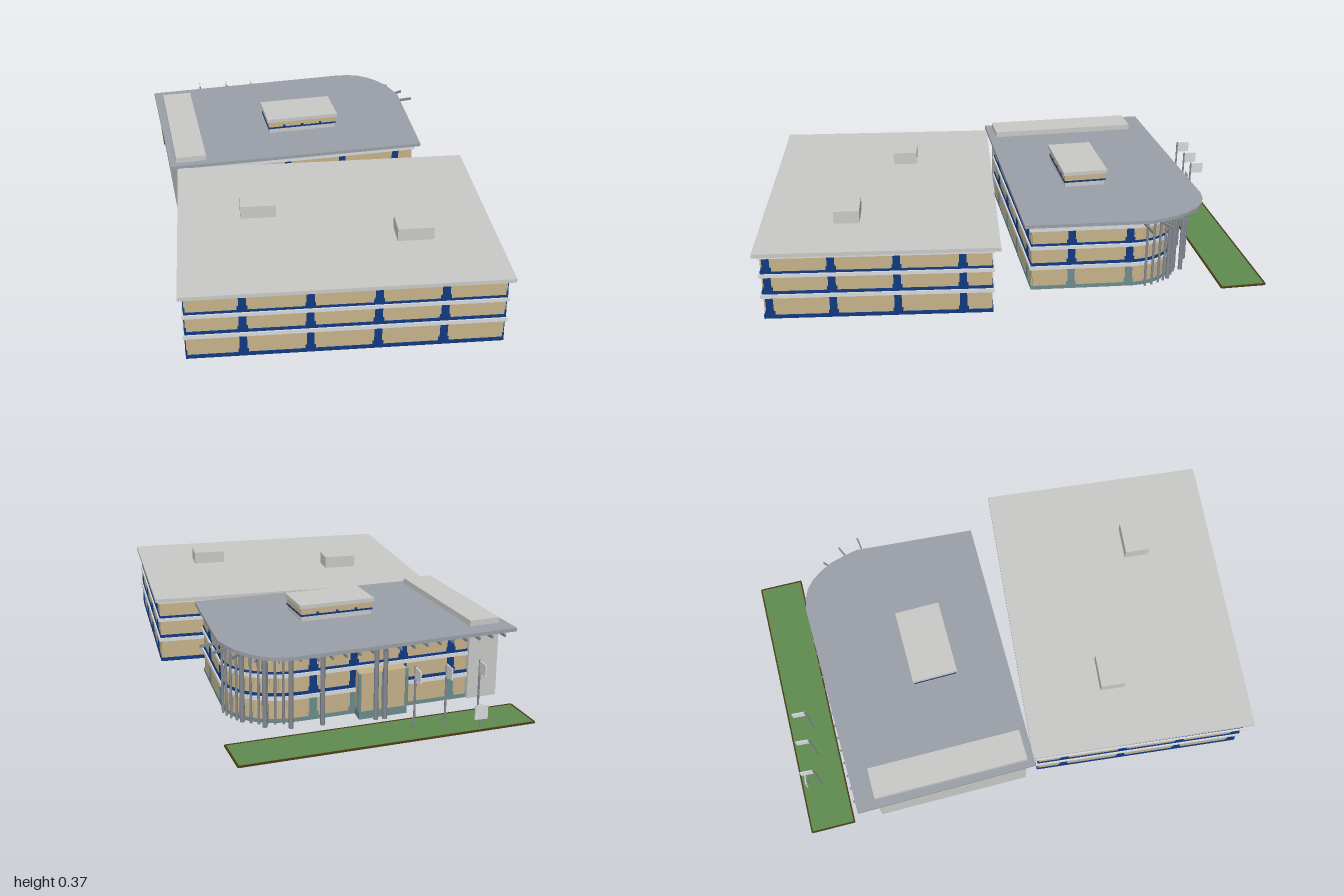
import * as THREE from 'three';

const mat = (name, color) => {
  const m = new THREE.MeshStandardMaterial({ color });
  m.name = name;
  return m;
};

export function createModel() {
  const root = new THREE.Group();
  root.name = 'officeComplex';
  const M = {
    light: mat('lightGrey', 0xc8c8c6), slate: mat('slateRoof', 0x9aa0a8), tan: mat('sandPanel', 0xc6b28a),
    blue: mat('blueFrame', 0x103a82), band: mat('paleBand', 0xd6d9dc), teal: mat('tealFrame', 0x6c8c8e),
    green: mat('grass', 0x5f8b50), steel: mat('steel', 0x858a92), edge: mat('darkEdging', 0x4a3d18),
  };

  const add = (geo, material, name, parent = root) => {
    const m = new THREE.Mesh(geo, material);
    m.name = name;
    parent.add(m);
    return m;
  };
  // Horizontal slab from an [x, z] outline
  const slab = (pts, y0, y1, material, name, parent = root) => {
    const shape = new THREE.Shape(pts.map(([x, z]) => new THREE.Vector2(x, -z)));
    const g = new THREE.ExtrudeGeometry(shape, { depth: y1 - y0, bevelEnabled: false });
    g.rotateX(-Math.PI / 2).translate(0, y0, 0);
    return add(g, material, name, parent);
  };
  // Upright box along the line from a to b
  const wall = (a, b, y0, y1, t, material, name, parent = root, extra = 0) => {
    const dx = b[0] - a[0], dz = b[1] - a[1];
    const m = add(new THREE.BoxGeometry(Math.hypot(dx, dz) + extra, y1 - y0, t), material, name, parent);
    m.position.set((a[0] + b[0]) / 2, (y0 + y1) / 2, (a[1] + b[1]) / 2);
    m.rotation.y = -Math.atan2(dz, dx);
    return m;
  };
  const lerp = (a, b, t) => [a[0] + (b[0] - a[0]) * t, a[1] + (b[1] - a[1]) * t];
  const post = (x, z, y0, y1, r, name, parent = root) => {
    add(new THREE.CylinderGeometry(r, r, y1 - y0, 10), M.steel, name, parent).position.set(x, (y0 + y1) / 2, z);
  };

  // Three storeys along one facade: panels, sills, flared piers and bands
  const storeys = [[0, 0.015, 0.09], [0.105, 0.117, 0.178], [0.192, 0.201, 0.258]];
  function facade(a, b, piers, top, groundFrame, parent) {
    const len = Math.hypot(b[0] - a[0], b[1] - a[1]);
    wall(a, b, 0, top, 0.008, M.tan, 'wallPanel', parent);
    storeys.forEach(([y0, y1, y2], i) => {
      const frame = i === 0 ? groundFrame : M.blue;
      wall(a, b, y0, y1, 0.014, frame, 'sill', parent, 0.012);
      for (const t of piers) {
        const h = 0.014 / len, f = 0.019 / len;
        wall(lerp(a, b, t - h), lerp(a, b, t + h), y1, y2, 0.016, frame, 'pier', parent);
        wall(lerp(a, b, t - f), lerp(a, b, t + f), y1, y1 + 0.016, 0.016, frame, 'pierFoot', parent);
      }
      wall(a, b, y2, i < 2 ? storeys[i + 1][0] : top, 0.026, M.band, 'floorBand', parent, 0.024);
    });
  }

  // Front building
  const front = new THREE.Group();
  front.name = 'frontBuilding';
  root.add(front);
  const FL = [-0.565, 0.915], FR = [0.575, 0.965], BR = [0.61, 0.11], BL = [-0.53, 0.065];
  const long = [0.175, 0.386, 0.6, 0.81], side = [0.02, 0.3, 0.585, 0.875];
  facade(FL, FR, long, 0.27, M.blue, front);
  facade(FR, BR, side, 0.27, M.blue, front);
  facade(BL, BR, long, 0.27, M.blue, front);
  facade(FL, BL, side, 0.27, M.blue, front);
  slab([[-0.59, 0.945], [0.6, 0.995], [0.635, 0.075], [-0.555, 0.03]], 0.27, 0.285, M.light, 'frontRoof', front);
  for (const [x, z] of [[-0.26, 0.413], [0.305, 0.65]]) {
    const unit = add(new THREE.BoxGeometry(0.137, 0.052, 0.1), M.light, 'roofUnit', front);
    unit.position.set(x, 0.31, z);
    unit.rotation.y = -0.04;
  }

  // Back building with a rounded corner
  const back = new THREE.Group();
  back.name = 'backBuilding';
  root.add(back);
  const R0 = [0.455, -0.065], R1 = [0.46, -0.47], B0 = [0.2, -0.665], B1 = [-0.47, -0.61];
  const TOP = 0.283;
  facade([-0.45, -0.003], R0, [0.15, 0.4, 0.66, 0.92], TOP, M.teal, back);
  facade(R0, R1, [0.38, 0.95], TOP, M.teal, back);
  facade(B0, B1, [0.06, 0.3, 0.6, 0.9], TOP, M.teal, back);
  const bend = new THREE.CubicBezierCurve(new THREE.Vector2(...R1), new THREE.Vector2(0.45, -0.6),
    new THREE.Vector2(0.35, -0.675), new THREE.Vector2(...B0));
  const arc = bend.getSpacedPoints(12);
  for (let i = 0; i < 12; i++) {
    facade(arc[i].toArray(), arc[i + 1].toArray(), [], TOP, M.teal, back);
  }
  // Upright fins around the bend
  for (let i = 1; i < 12; i++) {
    post(arc[i].x + 0.016, arc[i].y - 0.016, 0, TOP, 0.005, 'fin', back);
  }

  slab([[-0.585, 0.035], [0.487, -0.03], [0.49, -0.53], [0.472, -0.59], [0.452, -0.645], [0.42, -0.695],
    [0.385, -0.735], [0.345, -0.762], [0.3, -0.776], [0.25, -0.78], [0.2, -0.775], [-0.64, -0.695]],
  TOP, 0.297, M.slate, 'backRoof', back);

  // Solid stair wing rising through the roof
  slab([[-0.6, -0.62], [-0.475, -0.63], [-0.435, -0.005], [-0.56, 0.005]], 0, 0.32, M.light, 'stairWing', back);

  // Rooftop penthouse
  const pent = new THREE.Group();
  pent.name = 'penthouse';
  pent.position.set(-0.007, 0, -0.309);
  pent.rotation.y = 0.075;
  back.add(pent);
  const tier = (w, d, y0, y1, m, name) => {
    add(new THREE.BoxGeometry(w, y1 - y0, d), m, name, pent).position.y = (y0 + y1) / 2;
  };
  tier(0.292, 0.166, 0.297, 0.317, M.light, 'penthouseBase');
  tier(0.3, 0.174, 0.317, 0.324, M.blue, 'penthouseSill');
  tier(0.296, 0.17, 0.324, 0.35, M.tan, 'penthouseWall');
  tier(0.31, 0.184, 0.35, 0.365, M.light, 'penthouseRoof');
  for (const x of [-0.08, 0, 0.08]) {
    const p = add(new THREE.BoxGeometry(0.01, 0.008, 0.174), M.blue, 'penthousePier', pent);
    p.position.set(x, 0.328, 0);
  }

  // Beams below the rear overhang
  for (let x = -0.58; x < 0.2; x += 0.054) {
    const zEdge = -0.755 - x * 0.095;
    wall([x, -0.62], [x - 0.006, zEdge - 0.008], 0.27, 0.281, 0.006, M.steel, 'eaveBeam', back);
  }
  for (let i = 1; i < 12; i += 2) {
    const n = bend.getTangentAt(i / 12);
    wall([arc[i].x, arc[i].y], [arc[i].x - n.y * 0.1, arc[i].y + n.x * 0.1], 0.27, 0.281, 0.006,
      M.steel, 'bendBeam', back);
  }
  // Colonnade
  for (const [x, z] of [[-0.1, -0.73], [-0.065, -0.73], [0.14, -0.725], [0.26, -0.725], [0.35, -0.69], [0.42, -0.62]]) {
    post(x, z, 0, TOP, 0.009, 'column', back);
  }
  // Entrance bay
  slab([[-0.2, -0.62], [-0.01, -0.635], [-0.005, -0.715], [-0.195, -0.7]], 0.03, 0.18, M.tan, 'entranceBay', back);
  slab([[-0.202, -0.62], [-0.008, -0.635], [-0.003, -0.718], [-0.197, -0.703]], 0, 0.03, M.teal, 'entranceBase', back);
  for (const t of [0, 0.5, 1]) {
    const p = lerp([-0.195, -0.7], [-0.005, -0.715], t);
    wall([p[0] - 0.006, p[1]], [p[0] + 0.006, p[1]], 0.03, 0.18, 0.008, M.teal, 'entranceFrame', back);
  }

  // Lawn with dark edging
  const lawn = [[-0.62, -0.92], [0.515, -0.997], [0.525, -0.817], [-0.61, -0.74]];
  slab(lawn, 0, 0.005, M.green, 'lawn');
  lawn.forEach((p, i) => wall(p, lawn[(i + 1) % 4], 0, 0.0065, 0.006, M.edge, 'lawnEdging'));

  // Flagpoles and a low sign
  for (const x of [-0.42, -0.29, -0.17]) {
    post(x, -0.853, 0, 0.245, 0.004, 'flagpole');
    wall([x, -0.853], [x, -0.907], 0.198, 0.243, 0.005, M.band, 'flag');
  }
  post(-0.41, -0.905, 0, 0.09, 0.003, 'signPost');
  wall([-0.435, -0.908], [-0.385, -0.908], 0.035, 0.09, 0.005, M.band, 'signPanel');

  return root;
}
